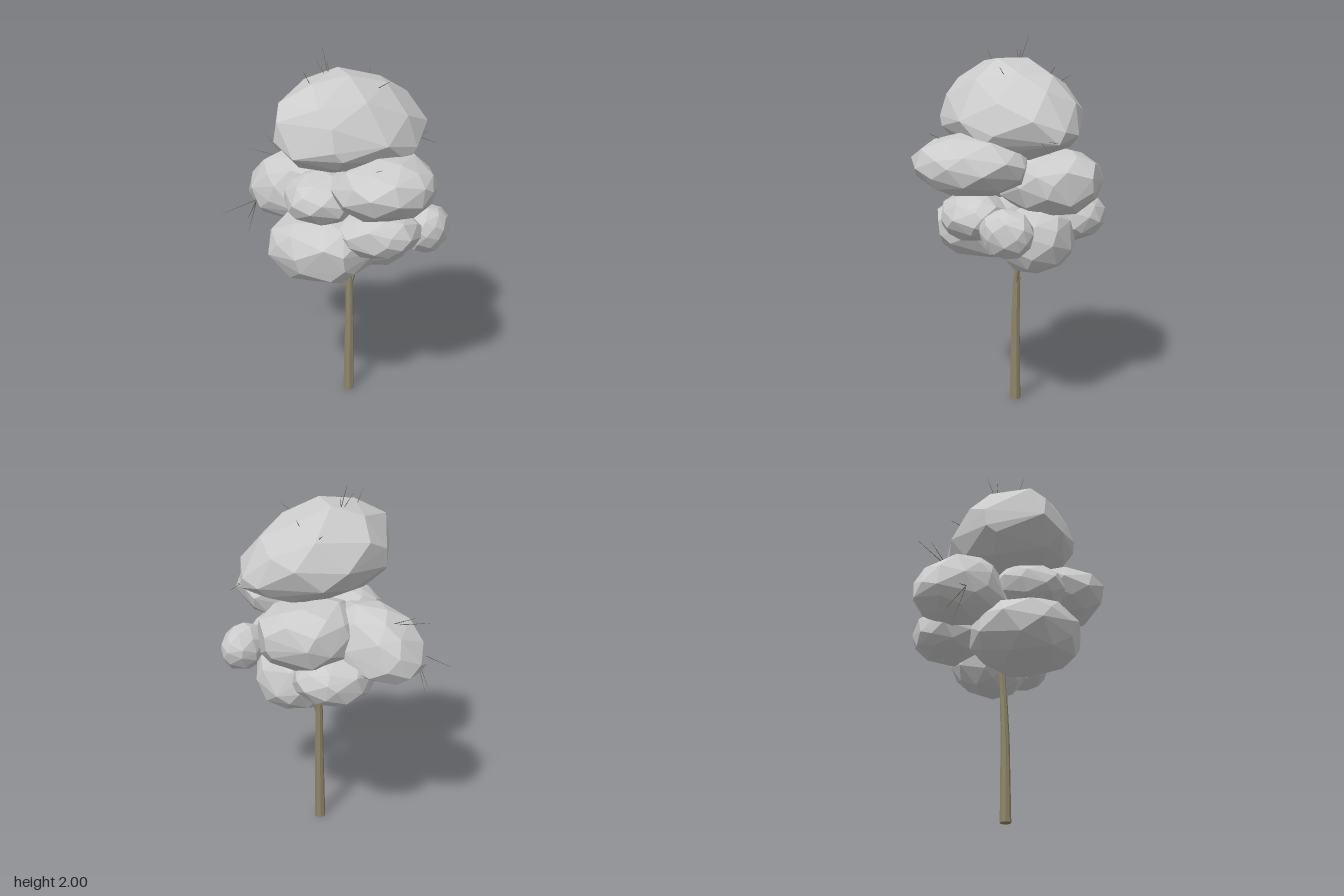
import * as THREE from 'three';
import { ConvexGeometry } from 'three/addons/geometries/ConvexGeometry.js';

const leafMat = new THREE.MeshStandardMaterial({ color: 0xcccccc, flatShading: true });
const barkMat = new THREE.MeshStandardMaterial({ color: 0x8f8669, flatShading: true });
const twigMat = new THREE.MeshStandardMaterial({ color: 0x6a6452, flatShading: true });

function seeded(seed) {
  let s = seed * 7919 + 17;
  return () => (s = (s * 16807) % 2147483647) / 2147483647;
}

// Faceted foliage lump filling the box x, y, z. mid: height of its widest ring,
// tilt: rise of y along x and z, skew: shift of x along z, full: below 1 is boxier
function clump({ x, y, z, mid = (y[0] + y[1]) / 2, tilt = [0, 0], skew = 0, full = 1 }, seed) {
  const rand = seeded(seed), count = 46, points = [];
  const bulge = (v) => Math.sign(v) * Math.abs(v) ** full;
  for (let i = 0; i < count; i++) {
    const h = 1 - (2 * (i + 0.5)) / count;
    const a = i * 2.39996 + seed + (rand() - 0.5) * 0.5;
    const r = Math.sqrt(1 - h * h);
    const p = new THREE.Vector3(bulge(r * Math.cos(a)), bulge(h), bulge(r * Math.sin(a)));
    p.multiplyScalar(0.97 + rand() * 0.06);
    p.y += p.x * tilt[0] + p.z * tilt[1];
    p.x += p.z * skew;
    points.push(p);
  }
  // Fit the points to the box
  const box = new THREE.Box3().setFromPoints(points);
  const c = box.getCenter(new THREE.Vector3());
  const half = box.getSize(new THREE.Vector3()).multiplyScalar(0.5);
  for (const p of points) {
    p.sub(c).divide(half);
    p.set(
      (x[0] + x[1]) / 2 + (p.x * (x[1] - x[0])) / 2,
      mid + p.y * (p.y > 0 ? y[1] - mid : mid - y[0]),
      (z[0] + z[1]) / 2 + (p.z * (z[1] - z[0])) / 2
    );
  }
  return new THREE.Mesh(new ConvexGeometry(points), leafMat);
}

// Tapered stick between two points
function stick(from, to, r0, r1, sides, material, name) {
  const a = new THREE.Vector3(...from), b = new THREE.Vector3(...to);
  const dir = b.clone().sub(a);
  const mesh = new THREE.Mesh(new THREE.CylinderGeometry(r1, r0, dir.length(), sides), material);
  mesh.position.copy(a).add(b).multiplyScalar(0.5);
  mesh.quaternion.setFromUnitVectors(new THREE.Vector3(0, 1, 0), dir.normalize());
  mesh.name = name;
  return mesh;
}

export function createModel() {
  const tree = new THREE.Group();
  tree.name = 'tree';

  // Foliage
  const clumps = {
    crownFoliage: { x: [-0.28, 0.41], y: [1.37, 1.89], z: [-0.43, 0.44], mid: 1.56, tilt: [-0.14, 0.12], skew: -0.2, full: 1.06 },
    upperLeftFoliage: { x: [0.06, 0.61], y: [1.19, 1.52], z: [-0.23, 0.39], skew: 0.08 },
    rightFoliage: { x: [-0.6, -0.02], y: [1.0, 1.4], z: [-0.21, 0.22], mid: 1.15, tilt: [0.16, 0], full: 0.94 },
    middleFrontFoliage: { x: [-0.19, 0.21], y: [1.11, 1.38], z: [-0.02, 0.41] },
    lowerFrontFoliage: { x: [-0.28, 0.3], y: [0.8, 1.16], z: [-0.14, 0.47], mid: 0.99, full: 0.9 },
    lowerLeftFoliage: { x: [0.1, 0.51], y: [0.95, 1.21], z: [-0.11, 0.3], skew: -0.2 },
    outerLeftFoliage: { x: [0.31, 0.54], y: [0.91, 1.17], z: [-0.34, -0.05] },
    upperBackFoliage: { x: [-0.28, 0.23], y: [1.06, 1.42], z: [-0.475, 0.1], full: 0.95 },
    lowerBackFoliage: { x: [-0.11, 0.32], y: [0.77, 1.12], z: [-0.36, 0.02], full: 0.92 },
    lowerRightBackFoliage: { x: [-0.39, 0.02], y: [0.89, 1.16], z: [-0.41, 0.02], full: 0.9 },
  };
  Object.entries(clumps).forEach(([name, spec], i) => {
    const mesh = clump(spec, i + 1);
    mesh.name = name;
    tree.add(mesh);
  });

  // Trunk and fork
  tree.add(
    stick([0.046, 0, -0.003], [0.048, 0.45, -0.006], 0.03, 0.024, 8, barkMat, 'lowerTrunk'),
    stick([0.048, 0.45, -0.006], [0.043, 0.7, -0.012], 0.024, 0.02, 8, barkMat, 'upperTrunk'),
    stick([0.043, 0.69, -0.012], [0.035, 1.0, -0.025], 0.019, 0.014, 6, barkMat, 'mainBranch'),
    stick([0.048, 0.66, -0.012], [0.09, 0.9, -0.07], 0.012, 0.008, 6, barkMat, 'sideBranch')
  );

  // Bare twigs, each a base followed by its tips
  const twigs = [
    [[-0.05, 1.82, 0.04], [-0.12, 2.0, 0.01], [-0.07, 1.93, 0.03], [-0.11, 1.94, 0.08]],
    [[0.18, 1.8, -0.03], [0.27, 1.86, -0.05]],
    [[-0.09, 1.76, -0.19], [-0.15, 1.8, -0.24]],
    [[0.02, 1.79, -0.19], [0.02, 1.85, -0.23]],
    [[-0.05, 1.8, 0.17], [-0.06, 1.92, 0.24]],
    [[0.28, 1.5, -0.3], [0.34, 1.45, -0.39], [0.28, 1.5, -0.41]],
    [[0.36, 1.47, 0.22], [0.45, 1.52, 0.27]],
    [[-0.4, 1.31, -0.01], [-0.59, 1.41, -0.05], [-0.6, 1.345, 0.07]],
    [[-0.45, 1.11, 0.18], [-0.61, 1.02, 0.29], [-0.53, 0.89, 0.17], [-0.56, 0.95, 0.14]],
  ];
  for (const [base, ...tips] of twigs)
    for (const tip of tips) tree.add(stick(base, tip, 0.003, 0.0007, 4, twigMat, 'twig'));

  return tree;
}
